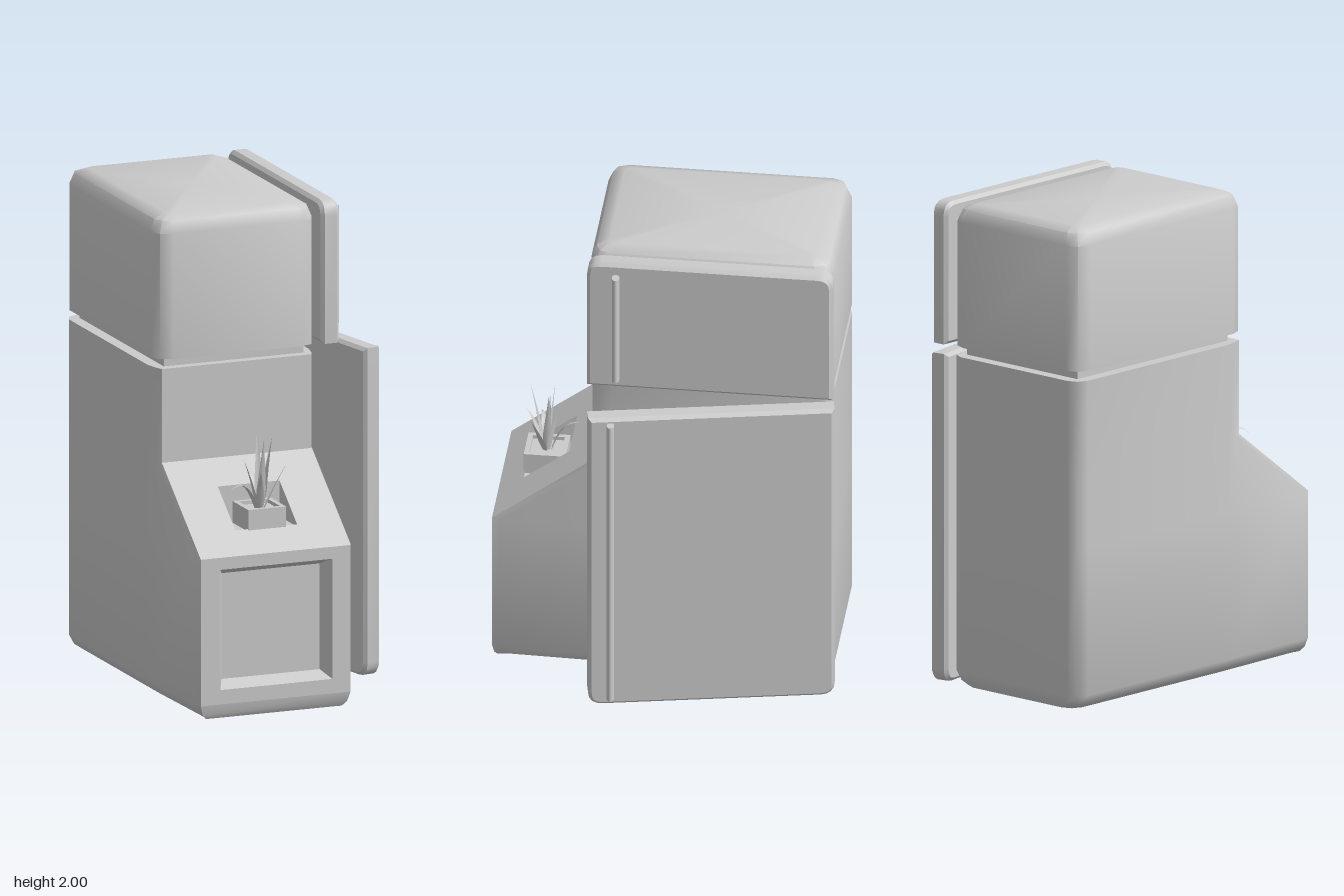
import * as THREE from 'three';
import { toCreasedNormals } from 'three/addons/utils/BufferGeometryUtils.js';

const material = new THREE.MeshStandardMaterial({ color: 0xcccccc });
const leafMaterial = new THREE.MeshStandardMaterial({ color: 0xcccccc, side: THREE.DoubleSide });

function part(name, geometry, parent, mat = material) {
  const mesh = new THREE.Mesh(geometry, mat);
  mesh.name = name;
  parent.add(mesh);
  return mesh;
}

// Joins rings of points into a skin; rings run counter-clockwise seen from the end they progress to.
// skip(band, side) leaves a side open; startCap and endCap close the ends.
function loft(rings, { startCap = true, endCap = true, skip = () => false } = {}) {
  const out = [];
  const tri = (a, b, c) => out.push(...a, ...b, ...c);
  const n = rings[0].length;
  for (let k = 0; k < rings.length - 1; k++) {
    for (let i = 0; i < n; i++) {
      if (skip(k, i)) continue;
      const j = (i + 1) % n, a = rings[k], b = rings[k + 1];
      tri(a[i], a[j], b[j]);
      tri(a[i], b[j], b[i]);
    }
  }
  const cap = (ring, flip) => {
    const c = [0, 1, 2].map(d => ring.reduce((s, p) => s + p[d], 0) / n);
    ring.forEach((p, i) => {
      const q = ring[(i + 1) % n];
      flip ? tri(c, q, p) : tri(c, p, q);
    });
  };
  if (startCap) cap(rings[0], true);
  if (endCap) cap(rings[rings.length - 1], false);
  const g = new THREE.BufferGeometry();
  g.setAttribute('position', new THREE.Float32BufferAttribute(out, 3));
  return toCreasedNormals(g, 0.86);
}

// Horizontal rectangle with corners cut in two steps
function roundRing(x0, x1, z0, z1, r, y) {
  const pts = [];
  const corners = [[x1 - r, z1 - r, 0], [x1 - r, z0 + r, 1], [x0 + r, z0 + r, 2], [x0 + r, z1 - r, 3]];
  for (const [cx, cz, q] of corners) {
    for (let s = 0; s <= 2; s++) {
      const a = (q + s / 2) * Math.PI / 2;
      pts.push([cx + r * Math.sin(a), y, cz + r * Math.cos(a)]);
    }
  }
  return pts;
}

const rect = (x0, x1, z0, z1, y) => [[x0, y, z1], [x1, y, z1], [x1, y, z0], [x0, y, z0]];
const upright = (x0, x1, y0, y1, z) => [[x0, y0, z], [x1, y0, z], [x1, y1, z], [x0, y1, z]];

// Front face with a rectangular opening, laid on the depth given by zAt(y)
function facePanel(x0, x1, y0, y1, hole, zAt) {
  const box = (a, b, c, d, P) => new P([[a, c], [b, c], [b, d], [a, d], [a, c]].map(p => new THREE.Vector2(...p)));
  const shape = box(x0, x1, y0, y1, THREE.Shape);
  shape.holes.push(box(...hole, THREE.Path));
  const g = new THREE.ShapeGeometry(shape);
  const p = g.attributes.position;
  for (let i = 0; i < p.count; i++) p.setZ(i, zAt(p.getY(i)));
  g.computeVertexNormals();
  return g;
}

// Door slab running along +z, with rounded corners at the top or the bottom
function doorGeometry(length, height, roundTop) {
  const r = 0.06, b = 0.014, thick = 0.08;
  const flip = v => (roundTop ? v : height - v);
  const s = new THREE.Shape();
  s.moveTo(0, flip(0));
  s.lineTo(length, flip(0));
  s.lineTo(length, flip(height - r));
  s.quadraticCurveTo(length, flip(height), length - r, flip(height));
  s.lineTo(r, flip(height));
  s.quadraticCurveTo(0, flip(height), 0, flip(height - r));
  const g = new THREE.ExtrudeGeometry(s, {
    depth: thick - 2 * b, bevelThickness: b, bevelSize: b, bevelOffset: -b, bevelSegments: 1, curveSegments: 4,
  });
  g.rotateY(-Math.PI / 2);
  g.translate(thick - b, 0, 0);
  return toCreasedNormals(g, 0.6);
}

function handle(name, x, y0, y1, parent) {
  const g = new THREE.CylinderGeometry(1, 1, y1 - y0, 20);
  g.scale(0.024, 1, 0.015);
  part(name, g, parent).position.set(x, (y0 + y1) / 2, 0.18);
}

// Folded, tapering leaf along a bent curve
function leafGeometry(base, mid, tip, width) {
  const curve = new THREE.QuadraticBezierCurve3(base, mid, tip);
  const flat = new THREE.Vector3(tip.x - base.x, 0, tip.z - base.z).normalize();
  const side = new THREE.Vector3(-flat.z, 0, flat.x);
  const pos = [], idx = [], steps = 7;
  for (let i = 0; i <= steps; i++) {
    const t = i / steps, p = curve.getPoint(t);
    const w = width * Math.min(0.6 + 1.6 * t, 1.35 * (1 - t));
    for (const s of [-1, 0, 1]) {
      const q = p.clone().addScaledVector(side, s * w).addScaledVector(flat, s ? 0 : w * 0.4);
      pos.push(q.x, q.y, q.z);
    }
    if (i < steps) for (const c of [0, 1]) {
      const a = i * 3 + c;
      idx.push(a, a + 1, a + 4, a, a + 4, a + 3);
    }
  }
  const g = new THREE.BufferGeometry();
  g.setAttribute('position', new THREE.Float32BufferAttribute(pos, 3));
  g.setIndex(idx);
  g.computeVertexNormals();
  return g;
}

export function createModel() {
  const model = new THREE.Group();
  model.name = 'refrigerator';

  // Lower cabinet with a sloped nose
  const xl = -0.485, xr = 0.17, backR = 0.06;
  const bodyRing = (y, f, k) => {
    const back = roundRing(-0.51 + k, 0.195 - k, -0.69 + k * 0.4, 0, backR, y).slice(3, 9);
    const front = f - k * 0.4, bend = 0.2;
    return [
      [xr - k * 0.6, y, front], [0.183 - k, y, front - 0.035], [0.195 - k, y, bend],
      ...back,
      [-0.51 + k, y, bend], [-0.498 + k, y, front - 0.035], [xl + k * 0.6, y, front],
    ];
  };
  const rings = [[0, 0.7, 0.05], [0.02, 0.7, 0.02], [0.06, 0.7, 0], [0.67, 0.7, 0], [0.98, 0.29, 0], [1.37, 0.29, 0]]
    .map(a => bodyRing(...a));
  const last = rings[0].length - 1;
  part('lowerCabinet', loft(rings, { skip: (k, i) => i === last && (k === 2 || k === 3) }), model);

  // Front panel and its bevelled recess
  part('frontPanel', facePanel(xl, xr, 0.06, 0.67, [-0.4, 0.09, 0.12, 0.62], () => 0.7), model);
  part('frontRecess', loft([
    upright(-0.4, 0.09, 0.12, 0.62, 0.7),
    upright(-0.37, 0.06, 0.15, 0.59, 0.64),
  ], { startCap: false }), model);

  // Slope and the planter well cut into it
  const slopeZ = y => 0.7 - 0.41 * (y - 0.67) / 0.31;
  const [w0, w1, wy0, wy1] = [-0.29, -0.02, 0.75, 0.89];
  part('slope', facePanel(xl, xr, 0.67, 0.98, [w0, w1, wy0, wy1], slopeZ), model);
  const zf = slopeZ(wy0), zb = slopeZ(wy1);
  part('planterWell', loft([
    [[w0, wy0, zf], [w1, wy0, zf], [w1, wy1, zb], [w0, wy1, zb]],
    rect(w0, w1, zb, zf, 0.74),
  ], { startCap: false }), model);

  // Neck and upper cabinet
  part('neck', new THREE.BoxGeometry(0.61, 0.06, 0.89), model).position.set(-0.155, 1.39, -0.195);
  part('upperCabinet', loft([[1.41, 0], [1.93, 0], [1.98, 0.02], [2, 0.07]].map(([y, k]) =>
    roundRing(-0.51 + k, 0.195 - k, -0.69 + k, 0.3 - k, 0.07 - k * 0.6, y))), model);

  // Closed upper door, lower door ajar on its back hinge
  part('upperDoor', doorGeometry(1, 0.59, true), model).position.set(0.21, 1.41, -0.7);
  const lower = part('lowerDoor', doorGeometry(1, 1.37, false), model);
  lower.position.set(0.21, 0, -0.695);
  lower.rotation.y = 0.195;
  handle('upperHandle', 0.31, 1.46, 1.95, model);
  handle('lowerHandle', 0.481, 0.04, 1.35, model);

  // Square pot with soil
  const plant = new THREE.Group();
  plant.name = 'pottedPlant';
  model.add(plant);
  part('pot', loft([
    rect(-0.235, -0.07, 0.43, 0.6, 0.74), rect(-0.235, -0.07, 0.43, 0.6, 0.83),
    rect(-0.215, -0.09, 0.45, 0.58, 0.83), rect(-0.215, -0.09, 0.45, 0.58, 0.815),
  ]), plant);

  // Leaves: tip x, y, z, height of the bend, half width
  const leaves = [
    [-0.15, 1.13, 0.48, 1.0, 0.02], [-0.09, 1.1, 0.5, 0.95, 0.02], [-0.16, 1.12, 0.585, 0.96, 0.02],
    [-0.22, 1.02, 0.51, 0.93, 0.018], [-0.055, 1.0, 0.57, 0.9, 0.018], [-0.11, 1.06, 0.46, 0.94, 0.018],
    [-0.3, 0.9, 0.555, 0.97, 0.016], [-0.15, 0.945, 0.38, 0.96, 0.016], [-0.18, 0.98, 0.6, 0.92, 0.018],
  ];
  for (const [x, y, z, bend, w] of leaves) {
    const c = new THREE.Vector3(-0.15, 0.81, 0.515);
    const tip = new THREE.Vector3(x, y, z);
    const base = c.clone().lerp(tip, 0.12).setY(0.81);
    const mid = c.clone().lerp(tip, 0.45).setY(bend);
    part('leaf', leafGeometry(base, mid, tip, w), plant, leafMaterial);
  }
  return model;
}
